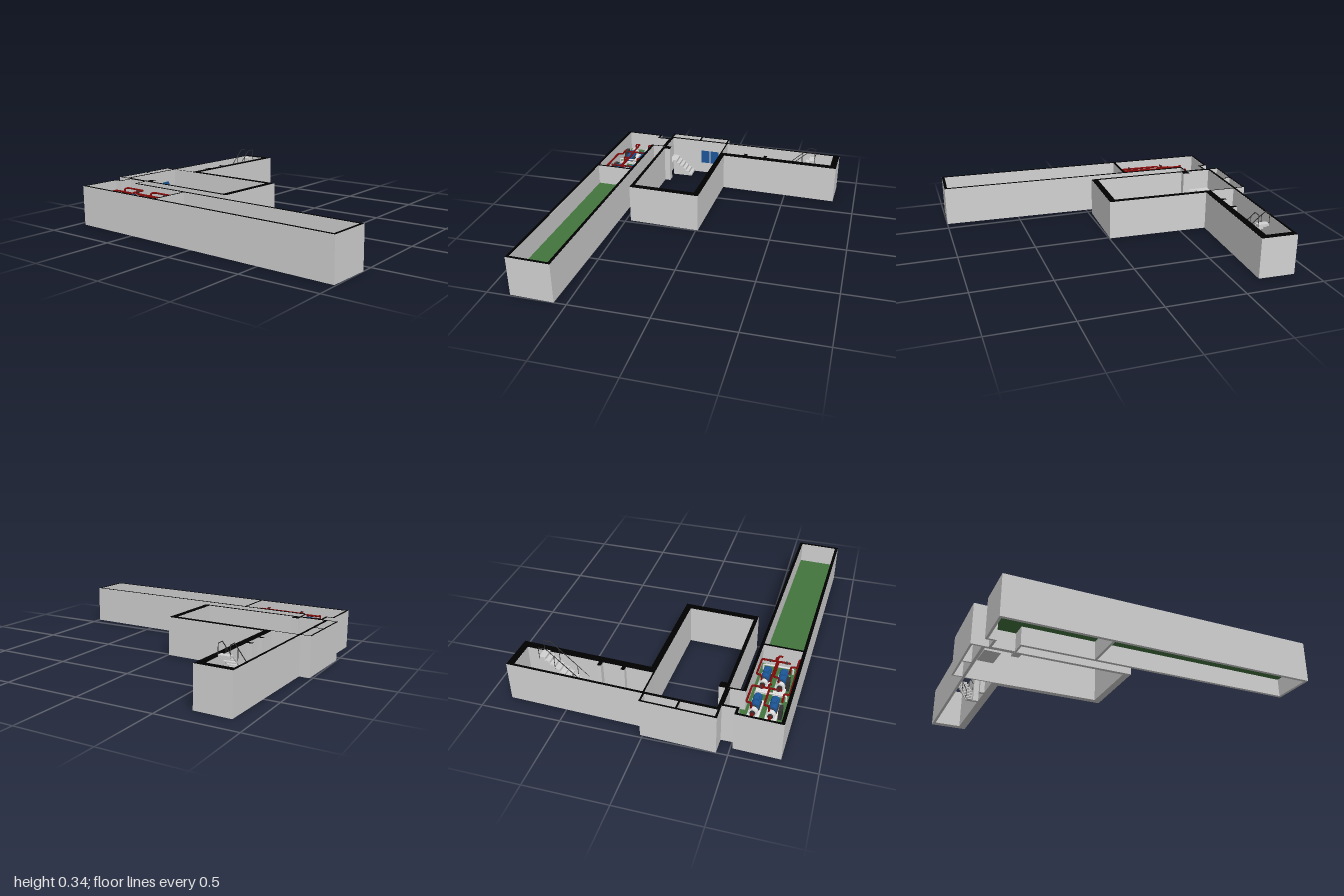
import * as THREE from 'three';

const H = 0.258, DECK = 0.12;
const mat = (name, color) => {
  const m = new THREE.MeshStandardMaterial({ color });
  m.name = name;
  return m;
};

export function createModel() {
  const root = new THREE.Group();
  root.name = 'undergroundPumpStation';
  const wall = mat('concrete grey', 0xd2d2d2);
  const cut = mat('cut black', 0x000000);
  const green = mat('floor green', 0x43753e);
  const blue = mat('motor blue', 0x1c5799);
  const red = mat('pipe red', 0x840a0a);
  const pale = mat('plinth pale grey', 0xe2e2e2);
  const dark = mat('steel dark grey', 0x343434);

  const add = (parent, name, geo, material, x = 0, y = 0, z = 0) => {
    const m = new THREE.Mesh(geo, material);
    m.name = name;
    m.position.set(x, y, z);
    parent.add(m);
    return m;
  };
  // box given by its low and high corners
  const box = (parent, name, material, x0, x1, y0, y1, z0, z1) =>
    add(parent, name, new THREE.BoxGeometry(x1 - x0, y1 - y0, z1 - z0), material,
      (x0 + x1) / 2, (y0 + y1) / 2, (z0 + z1) / 2);
  // plan outlines are [x, z] pairs; holes wind the other way
  const outline = (pts) => pts.map(([x, z]) => new THREE.Vector2(x, -z));
  const plan = (pts, holes = []) => {
    const s = new THREE.Shape(outline(pts));
    holes.forEach((h) => s.holes.push(new THREE.Path(outline(h).reverse())));
    return s;
  };
  const slab = (name, shape, depth, material, y = 0) =>
    add(root, name, new THREE.ExtrudeGeometry(shape, { depth, bevelEnabled: false })
      .rotateX(-Math.PI / 2), material, 0, y, 0);
  const walls = (name, pts, holes) => {
    const s = plan(pts, holes);
    slab(name, s, H - 0.001, wall);
    add(root, name + 'Cap', new THREE.ShapeGeometry(s).rotateX(-Math.PI / 2), cut, 0, H, 0);
  };
  // straight round bar between two points
  const bar = (parent, name, material, a, b, r, sides = 8) => {
    const p = new THREE.Vector3(...a), q = new THREE.Vector3(...b);
    const d = q.clone().sub(p);
    const m = add(parent, name, new THREE.CylinderGeometry(r, r, d.length(), sides), material);
    m.position.copy(p).add(q).multiplyScalar(0.5);
    m.quaternion.setFromUnitVectors(new THREE.Vector3(0, 1, 0), d.normalize());
  };
  // pipe run with rounded elbows
  const pipe = (parent, name, material, pts, r) => {
    const v = pts.map((p) => new THREE.Vector3(...p));
    const path = new THREE.CurvePath();
    let last = v[0];
    for (let i = 1; i < v.length - 1; i++) {
      const a = v[i].clone().add(v[i - 1].clone().sub(v[i]).setLength(r * 1.8));
      const b = v[i].clone().add(v[i + 1].clone().sub(v[i]).setLength(r * 1.8));
      path.add(new THREE.LineCurve3(last, a));
      path.add(new THREE.QuadraticBezierCurve3(a, v[i], b));
      last = b;
    }
    path.add(new THREE.LineCurve3(last, v[v.length - 1]));
    add(parent, name, new THREE.TubeGeometry(path, 48, r, 8), material);
  };

  // long hall with its pump bay, neck and partition
  const hall = [[-0.942, 0.513], [-0.895, 0.515], [-0.895, 0.43], [-0.735, 0.437], [-0.735, 0.518],
    [0.999, 0.578], [0.99, 0.856], [-0.952, 0.788]];
  const pumpBay = [[-0.928, 0.53], [-0.88, 0.53], [-0.88, 0.442], [-0.746, 0.447], [-0.746, 0.537],
    [-0.302, 0.552], [-0.309, 0.79], [-0.936, 0.768]];
  const longBay = [[-0.287, 0.553], [0.98, 0.597], [0.972, 0.836], [-0.294, 0.791]];
  walls('hallWalls', hall, [pumpBay, longBay]);
  slab('pumpBayFloor', plan(pumpBay), 0.006, green, DECK - 0.006);
  slab('longBayFloor', plan(longBay), 0.006, green, DECK - 0.006);

  // corridor, main room and side closets share one wall body, open below
  const block = [[-0.888, -0.86], [-0.655, -0.852], [-0.684, -0.037], [-0.005, -0.013], [-0.022, 0.466],
    [-0.735, 0.44], [-0.735, 0.436], [-0.998, 0.432], [-0.982, -0.015], [-0.916, -0.014]];
  const corridor = [[-0.872, -0.815], [-0.706, -0.81], [-0.731, -0.012], [-0.9, -0.017]];
  const mainRoom = [[-0.9, -0.007], [-0.728, -0.002], [-0.05, 0.024], [-0.064, 0.441], [-0.7, 0.421],
    [-0.7, 0.382], [-0.747, 0.38], [-0.747, 0.419], [-0.912, 0.413]];
  const closetA = [[-0.971, -0.004], [-0.918, -0.002], [-0.924, 0.196], [-0.977, 0.194]];
  const closetB = [[-0.978, 0.206], [-0.925, 0.208], [-0.931, 0.42], [-0.985, 0.418]];
  walls('roomWalls', block, [corridor, mainRoom, closetA, closetB]);

  // corridor buttresses
  for (const z of [-0.335, -0.19]) {
    walls('buttress', [[-0.755, z - 0.012], [-0.71, z - 0.011], [-0.71, z + 0.013], [-0.755, z + 0.012]], []);
  }

  // blue doors flush with the west wall of the main room
  for (const z of [0.085, 0.155]) {
    const door = box(root, 'blueDoor', blue, -0.0015, 0.0015, 0.08, 0.18, z - 0.031, z + 0.031);
    door.position.x = -0.9 - (z + 0.007) * 0.0286;
    door.rotation.y = -0.0286;
  }

  // steep corridor stair with landing and railings
  const stair = new THREE.Group();
  stair.name = 'corridorStair';
  root.add(stair);
  for (let i = 0; i < 10; i++) {
    const y = 0.02 + i * 0.0245, z = -0.36 - i * 0.03;
    box(stair, 'tread', wall, -0.789, -0.716, y, y + 0.008, z - 0.034, z);
  }
  box(stair, 'landing', wall, -0.789, -0.716, 0.258, 0.273, -0.695, -0.655);
  for (const x of [-0.788, -0.716]) {
    bar(stair, 'stringer', wall, [x, 0.01, -0.36], [x, 0.265, -0.665], 0.004, 4);
    bar(stair, 'handrail', dark, [x, 0.085, -0.375], [x, 0.336, -0.645], 0.0025);
    bar(stair, 'topRail', dark, [x, 0.336, -0.645], [x, 0.336, -0.693], 0.0025);
    for (const [z, y0, y1] of [[-0.693, 0.26, 0.336], [-0.6, 0.2, 0.294], [-0.49, 0.11, 0.192], [-0.38, 0.02, 0.09]])
      bar(stair, 'railPost', dark, [x, y0, z], [x, y1, z], 0.002);
  }

  // short stair up to the pump bay
  for (let i = 0; i < 6; i++) {
    box(root, 'shortStairStep', wall, -0.903, -0.806, 0.004, 0.02 * (i + 1), 0.24 + i * 0.024, 0.264 + i * 0.024);
  }
  box(root, 'shortStairLanding', wall, -0.908, -0.748, 0.1, DECK, 0.384, 0.412);

  // four pump sets
  const pump = (x, z) => {
    const g = new THREE.Group();
    g.name = 'pumpSet';
    g.position.set(x, DECK, z);
    g.rotation.y = -0.034;
    root.add(g);
    box(g, 'plinth', pale, -0.092, 0.09, 0, 0.015, -0.034, 0.034);
    bar(g, 'motor', blue, [-0.01, 0.045, 0], [0.085, 0.045, 0], 0.025, 20);
    box(g, 'terminalBox', blue, 0.02, 0.055, 0.066, 0.08, -0.014, 0.014);
    box(g, 'motorFoot', dark, 0, 0.075, 0.015, 0.025, -0.025, 0.025);
    bar(g, 'coupling', dark, [-0.035, 0.045, 0], [-0.01, 0.045, 0], 0.012, 12);
    bar(g, 'pumpCasing', pale, [-0.06, 0.045, 0], [-0.035, 0.045, 0], 0.026, 20);
    bar(g, 'suctionFlange', dark, [-0.068, 0.045, 0], [-0.06, 0.045, 0], 0.016, 12);
    bar(g, 'suctionPipe', red, [-0.092, 0.045, 0], [-0.068, 0.045, 0], 0.008, 12);
    pipe(g, 'deliveryPipe', red, [[-0.048, 0.06, -0.012], [-0.048, 0.105, -0.012], [-0.048, 0.105, -0.042],
      [0.098, 0.105, -0.042], [0.098, 0.105, 0.03]], 0.006);
    bar(g, 'valve', dark, [0.098, 0.105, 0], [0.098, 0.105, 0.012], 0.009, 12);
  };
  for (const x of [-0.745, -0.495]) {
    for (const dz of [0, 0.1]) pump(x, 0.592 + dz + (x + 0.745) * 0.034);
    // collector, down pipe, grey pipe and control box of each pair
    pipe(root, 'collectorPipe', red, [[x + 0.098, 0.225, 0.57], [x + 0.098, 0.225, 0.645],
      [x + 0.135, 0.225, 0.645], [x + 0.135, 0.225, 0.66]], 0.006);
    pipe(root, 'downPipe', red, [[x + 0.02, 0.2, 0.738], [x + 0.1, 0.2, 0.738], [x + 0.1, 0.2, 0.773],
      [x + 0.17, 0.2, 0.776]], 0.006);
    pipe(root, 'greyPipe', pale, [[x + 0.12, 0.13, 0.57], [x + 0.12, 0.17, 0.57], [x + 0.12, 0.17, 0.75],
      [x + 0.12, 0.13, 0.75]], 0.006);
    box(root, 'controlBox', dark, x - 0.03, x + 0.02, DECK, 0.19, 0.727, 0.749);
  }
  bar(root, 'headerPipe', red, [-0.645, 0.2, 0.77], [-0.315, 0.2, 0.782], 0.007);
  pipe(root, 'crossPipe', red, [[-0.6, 0.225, 0.645], [-0.345, 0.225, 0.655], [-0.345, 0.225, 0.68]], 0.006);
  return root;
}
